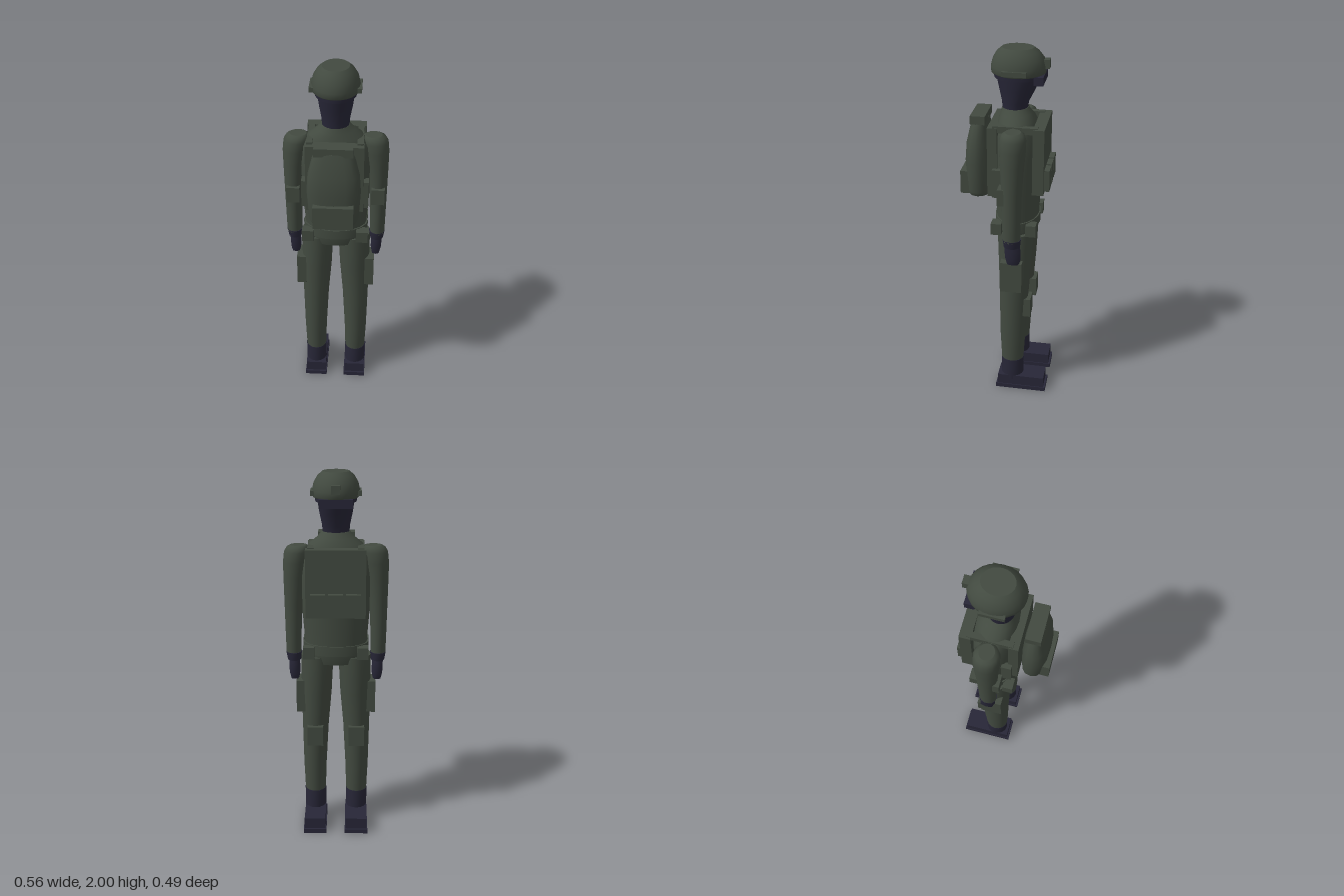
import * as THREE from 'three';

const green = new THREE.MeshStandardMaterial({ color: 0x424a40 });
green.name = 'olive green';
const dark = new THREE.MeshStandardMaterial({ color: 0x272637 });
dark.name = 'midnight black';

// Smooth body through elliptical rings [y, centreX, centreZ, radiusX, radiusZ], bottom to top.
// squareness below 1 makes the rings boxier.
function loft(rings, sides = 16, squareness = 1) {
  const pos = [], index = [];
  const corner = ([y, cx, cz, rx, rz], i) => {
    const a = (i / sides) * Math.PI * 2;
    const s = Math.sin(a), c = Math.cos(a);
    return [cx + rx * Math.sign(s) * Math.abs(s) ** squareness, y, cz + rz * Math.sign(c) * Math.abs(c) ** squareness];
  };
  for (const r of rings) for (let i = 0; i < sides; i++) pos.push(...corner(r, i));
  for (let k = 0; k < rings.length - 1; k++) {
    for (let i = 0; i < sides; i++) {
      const j = (i + 1) % sides, a = k * sides + i, b = k * sides + j;
      index.push(a, b, b + sides, a, b + sides, a + sides);
    }
  }
  // End caps have their own vertices, so their edges stay sharp.
  [[rings[0], false], [rings[rings.length - 1], true]].forEach(([r, top]) => {
    const centre = pos.length / 3;
    pos.push(r[1], r[0], r[2]);
    for (let i = 0; i < sides; i++) pos.push(...corner(r, i));
    for (let i = 0; i < sides; i++) {
      const a = centre + 1 + i, b = centre + 1 + ((i + 1) % sides);
      index.push(centre, top ? a : b, top ? b : a);
    }
  });
  const g = new THREE.BufferGeometry();
  g.setAttribute('position', new THREE.Float32BufferAttribute(pos, 3));
  g.setIndex(index);
  g.computeVertexNormals();
  return g;
}

// Box given by its limits on each axis.
function box([x0, x1], [y0, y1], [z0, z1]) {
  return new THREE.BoxGeometry(x1 - x0, y1 - y0, z1 - z0)
    .translate((x0 + x1) / 2, (y0 + y1) / 2, (z0 + z1) / 2);
}

export function createModel() {
  const model = new THREE.Group();
  model.name = 'soldier';
  const add = (name, geometry, material = green) => {
    const m = new THREE.Mesh(geometry, material);
    m.name = name;
    model.add(m);
  };

  // Head, helmet and goggles; the figure looks towards -z
  add('head', loft([
    [1.67, 0, -0.035, 0.07, 0.065], [1.72, 0, -0.037, 0.073, 0.07],
    [1.79, 0, -0.047, 0.087, 0.095], [1.88, 0, -0.057, 0.1, 0.125],
  ], 20), dark);
  add('helmet', loft([
    [1.868, 0, -0.053, 0.115, 0.13], [1.875, 0, -0.053, 0.122, 0.14],
    [1.905, 0, -0.053, 0.124, 0.143], [1.945, 0, -0.053, 0.115, 0.132],
    [1.98, 0, -0.05, 0.094, 0.108], [2, 0, -0.048, 0.07, 0.082],
  ], 24));
  add('nightVisionMount', box([-0.023, 0.023], [1.9, 1.945], [-0.213, -0.17]));
  add('goggles', box([-0.086, 0.086], [1.828, 1.872], [-0.19, -0.14]), dark);
  add('goggleStrap', loft([[1.848, 0, -0.053, 0.107, 0.126], [1.872, 0, -0.053, 0.109, 0.128]], 20), dark);

  // Torso with sloping collar
  add('torso', loft([
    [1.06, 0, -0.055, 0.168, 0.115], [1.12, 0, -0.055, 0.17, 0.116],
    [1.25, 0, -0.055, 0.18, 0.122], [1.45, 0, -0.055, 0.192, 0.128],
    [1.57, 0, -0.053, 0.185, 0.118], [1.63, 0, -0.048, 0.14, 0.098],
    [1.66, 0, -0.042, 0.1, 0.082], [1.69, 0, -0.037, 0.074, 0.068],
  ], 20));

  // Armour vest
  add('frontPlate', box([-0.157, 0.157], [1.26, 1.62], [-0.21, -0.15]));
  add('backPlate', box([-0.152, 0.152], [1.235, 1.615], [0.035, 0.087]));
  for (const x of [-0.093, 0, 0.093]) {
    add('magazinePouch', box([x - 0.039, x + 0.039], [1.275, 1.392], [-0.238, -0.2]));
  }

  // Backpack with lid and pocket
  add('backpack', loft([
    [1.21, 0, 0.15, 0.115, 0.06], [1.235, 0, 0.15, 0.13, 0.066],
    [1.4, 0, 0.154, 0.14, 0.07], [1.5, 0, 0.153, 0.133, 0.063],
    [1.59, 0, 0.148, 0.11, 0.047], [1.625, 0, 0.146, 0.095, 0.04],
  ], 16, 0.8));
  add('backpackLid', box([-0.1, 0.1], [1.61, 1.655], [0.107, 0.185]));
  add('backpackPocket', box([-0.105, 0.105], [1.22, 1.347], [0.18, 0.242]));

  // Hips and belt
  add('hips', loft([
    [0.98, 0, -0.055, 0.165, 0.1], [1.03, 0, -0.055, 0.172, 0.112], [1.08, 0, -0.055, 0.17, 0.114],
  ], 20));
  add('belt', loft([[1.035, 0, -0.055, 0.177, 0.122], [1.09, 0, -0.055, 0.177, 0.122]], 20));

  // Paired parts
  for (const s of [-1, 1]) {
    const side = s > 0 ? 'left' : 'right';
    const ring = (y, x, z, rx, rz) => [y, s * x, z, rx, rz];
    const sideBox = (x0, x1, y, z) => box(s > 0 ? [x0, x1] : [-x1, -x0], y, z);

    add(side + 'ShoulderStrap', sideBox(0.115, 0.147, [1.59, 1.625], [-0.175, 0.06]));
    add(side + 'VestPouch', sideBox(0.145, 0.178, [1.24, 1.395], [0.005, 0.058]));
    add(side + 'HelmetRail', sideBox(0.11, 0.132, [1.88, 1.905], [-0.11, 0.015]));

    add(side + 'Arm', loft([
      ring(1.02, 0.23, -0.055, 0.041, 0.047), ring(1.15, 0.23, -0.055, 0.044, 0.05),
      ring(1.3, 0.228, -0.055, 0.049, 0.054), ring(1.45, 0.222, -0.056, 0.058, 0.063),
      ring(1.53, 0.215, -0.057, 0.066, 0.069), ring(1.585, 0.207, -0.057, 0.068, 0.069),
      ring(1.61, 0.2, -0.057, 0.06, 0.058), ring(1.62, 0.197, -0.057, 0.045, 0.04),
    ], 14));
    add(side + 'ElbowPad', sideBox(0.192, 0.263, [1.235, 1.325], [-0.03, 0.016]));
    add(side + 'Cuff', loft([
      ring(0.985, 0.228, -0.057, 0.037, 0.044), ring(1.03, 0.229, -0.056, 0.044, 0.05),
    ], 12), dark);
    add(side + 'Hand', loft([
      ring(0.88, 0.225, -0.063, 0.023, 0.034), ring(0.91, 0.226, -0.063, 0.029, 0.042),
      ring(0.96, 0.227, -0.061, 0.03, 0.044), ring(1, 0.228, -0.057, 0.03, 0.04),
    ], 8, 0.7), dark);

    add(side + 'BackBeltPouch', sideBox(0.115, 0.18, [1.02, 1.085], [0.01, 0.066]));
    add(side + 'FrontBeltPouch', sideBox(0.115, 0.175, [1.02, 1.085], [-0.175, -0.12]));

    add(side + 'Leg', loft([
      ring(0.18, 0.117, -0.045, 0.058, 0.063), ring(0.35, 0.118, -0.046, 0.064, 0.072),
      ring(0.6, 0.114, -0.05, 0.073, 0.08), ring(0.8, 0.107, -0.055, 0.083, 0.09),
      ring(1.02, 0.102, -0.057, 0.089, 0.099),
    ], 16));
    add(side + 'ThighPocket', sideBox(0.165, 0.217, [0.69, 0.87], [-0.108, 0.01]));
    add(side + 'KneePad', sideBox(0.07, 0.158, [0.5, 0.612], [-0.15, -0.105]));

    add(side + 'BootShaft', loft([
      ring(0.06, 0.117, -0.045, 0.06, 0.064), ring(0.195, 0.117, -0.045, 0.06, 0.065),
    ], 16), dark);
    add(side + 'Boot', sideBox(0.057, 0.175, [0.02, 0.087], [-0.235, 0.033]), dark);
    add(side + 'BootSole', sideBox(0.052, 0.18, [0, 0.025], [-0.246, 0.044]), dark);
  }
  return model;
}
